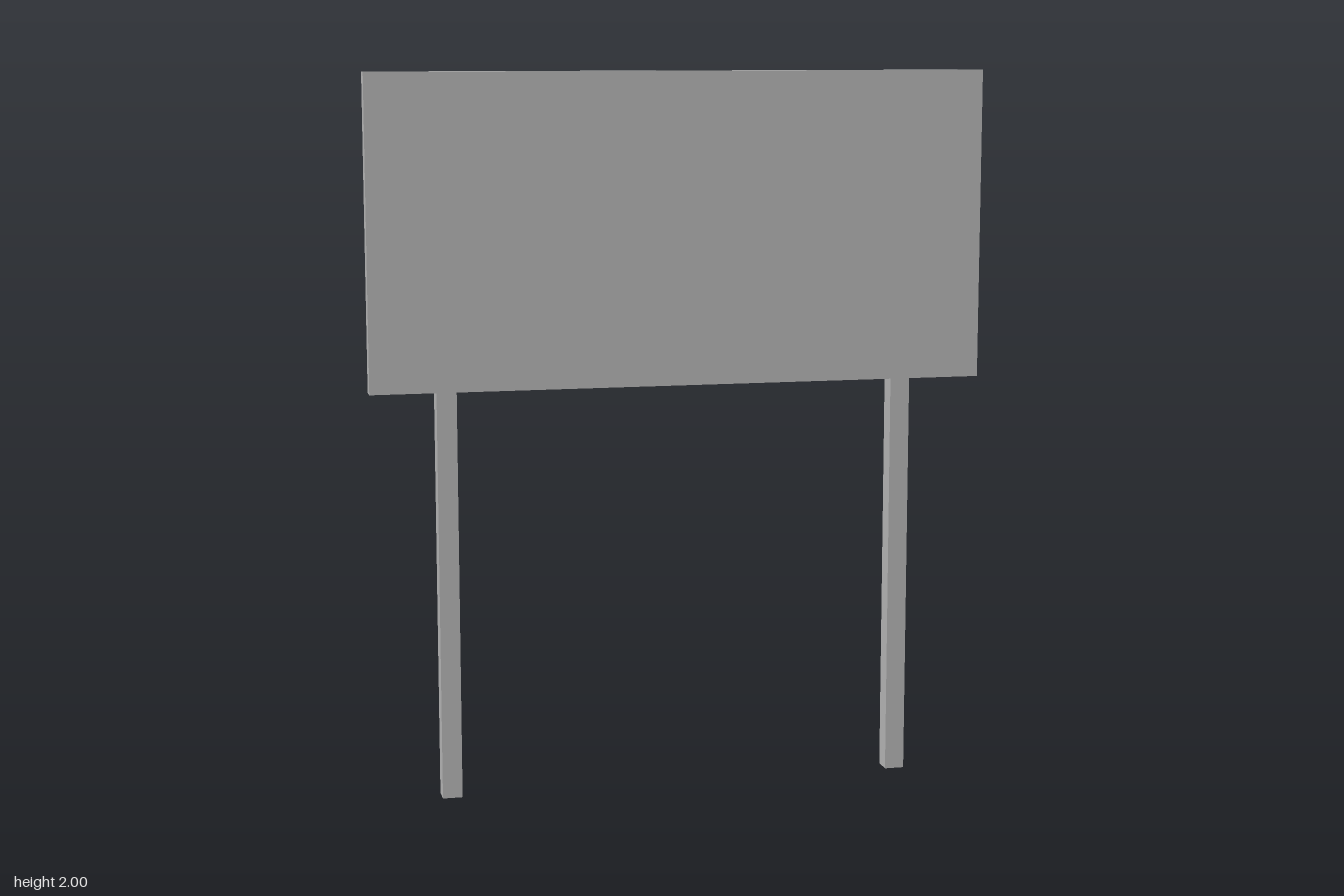
import * as THREE from 'three';

const grey = new THREE.MeshStandardMaterial({ color: 0xb0b0b0 });
grey.name = 'grey';

// Box given by its size, the centre of its base in x and z, and its bottom height
function box(name, [w, h, d], [x, bottom, z]) {
  const mesh = new THREE.Mesh(new THREE.BoxGeometry(w, h, d), grey);
  mesh.name = name;
  mesh.position.set(x, bottom + h / 2, z);
  return mesh;
}

export function createModel() {
  const sign = new THREE.Group();
  sign.name = 'signboard';

  // Wide panel, in front of the posts
  sign.add(box('panel', [1.71, 0.855, 0.045], [0, 1.145, 0.0275]));

  // Square posts, ending just below the panel's top edge
  for (const [name, side] of [['leftPost', 1], ['rightPost', -1]]) {
    sign.add(box(name, [0.055, 1.965, 0.055], [side * 0.642, 0, -0.0225]));
  }
  return sign;
}
